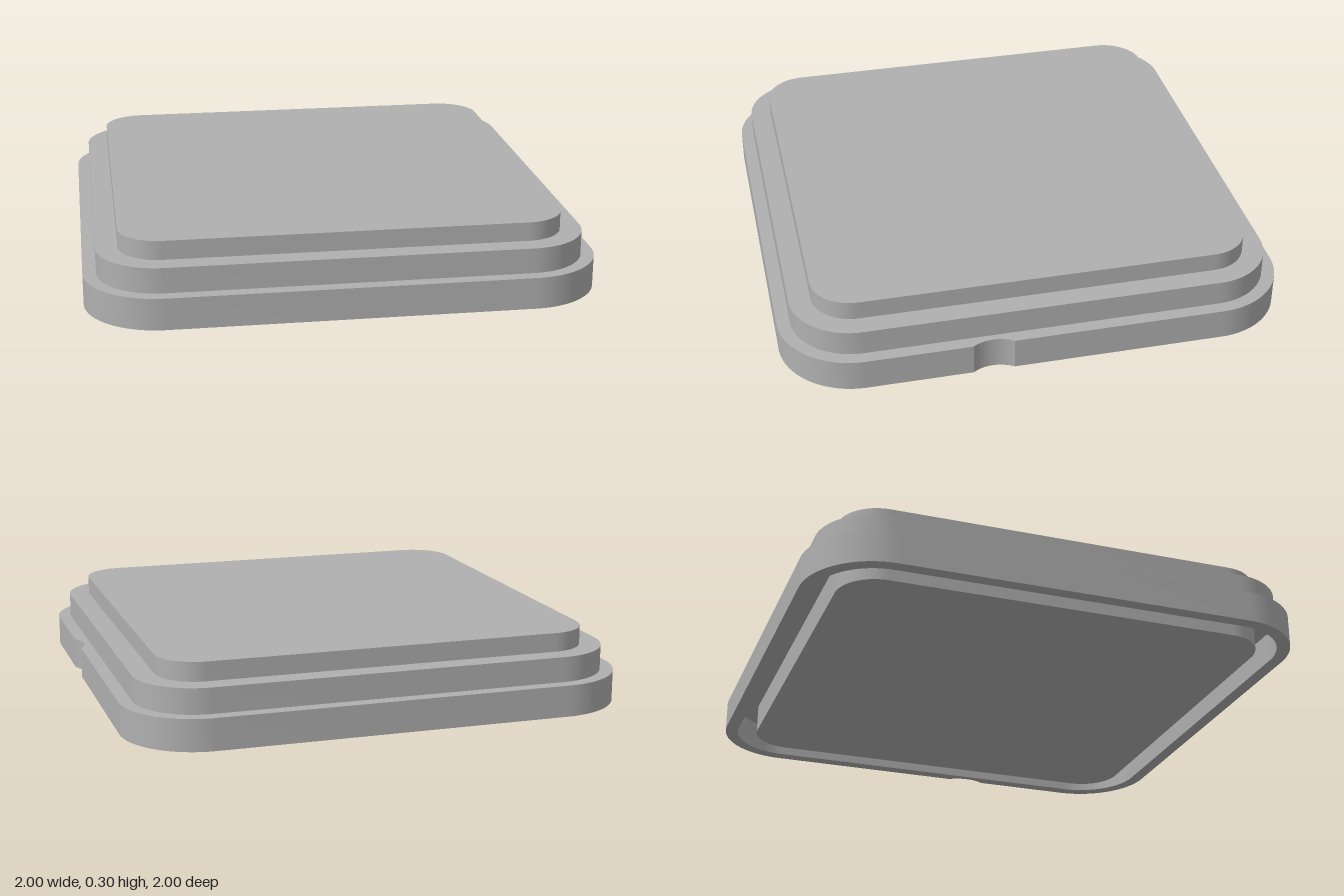
import * as THREE from 'three';
import { toCreasedNormals } from 'three/addons/utils/BufferGeometryUtils.js';

const CORNER = 0.7; // all corner arcs share this centre

// Rounded square outline; the optional notch is a shallow scoop in the +x edge
function outline(path, half, notch = false) {
  const r = half - CORNER, c = CORNER, q = Math.PI / 2;
  path.moveTo(c, -half);
  path.absarc(c, -c, r, -q, 0, false);
  if (notch) {
    // shape y becomes -z, so the scoop at z = 0.21 sits at y = -0.21
    const a = Math.asin(0.08 / 0.14);
    path.absarc(half + 0.14 * Math.cos(a), -0.21, 0.14, Math.PI + a, Math.PI - a, true);
  }
  path.absarc(c, c, r, 0, q, false);
  path.absarc(-c, c, r, q, 2 * q, false);
  path.absarc(-c, -c, r, 2 * q, 3 * q, false);
  path.closePath();
  return path;
}

function tier(name, material, half, bottom, top, inner = 0, notch = false) {
  const shape = outline(new THREE.Shape(), half, notch);
  if (inner) shape.holes.push(outline(new THREE.Path(), inner));
  let geo = new THREE.ExtrudeGeometry(shape, {
    depth: top - bottom, bevelEnabled: false, curveSegments: 20,
  });
  geo.rotateX(-Math.PI / 2);
  geo.translate(0, bottom, 0);
  geo = toCreasedNormals(geo, Math.PI / 6);
  const mesh = new THREE.Mesh(geo, material);
  mesh.name = name;
  return mesh;
}

export function createModel() {
  const grey = new THREE.MeshStandardMaterial({ color: 0xb0b0b0 });
  grey.name = 'plain grey';

  const model = new THREE.Group();
  model.name = 'steppedLid';
  model.add(
    // solid core, flush with the ground and rising to the top step
    tier('core', grey, 0.863, 0, 0.3),
    // middle step, bridging core and rim above the underside groove
    tier('middleStep', grey, 0.948, 0.12, 0.225, 0.85),
    // thin outer rim with the thumb notch
    tier('outerRim', grey, 1, 0, 0.125, 0.947, true),
  );
  return model;
}
